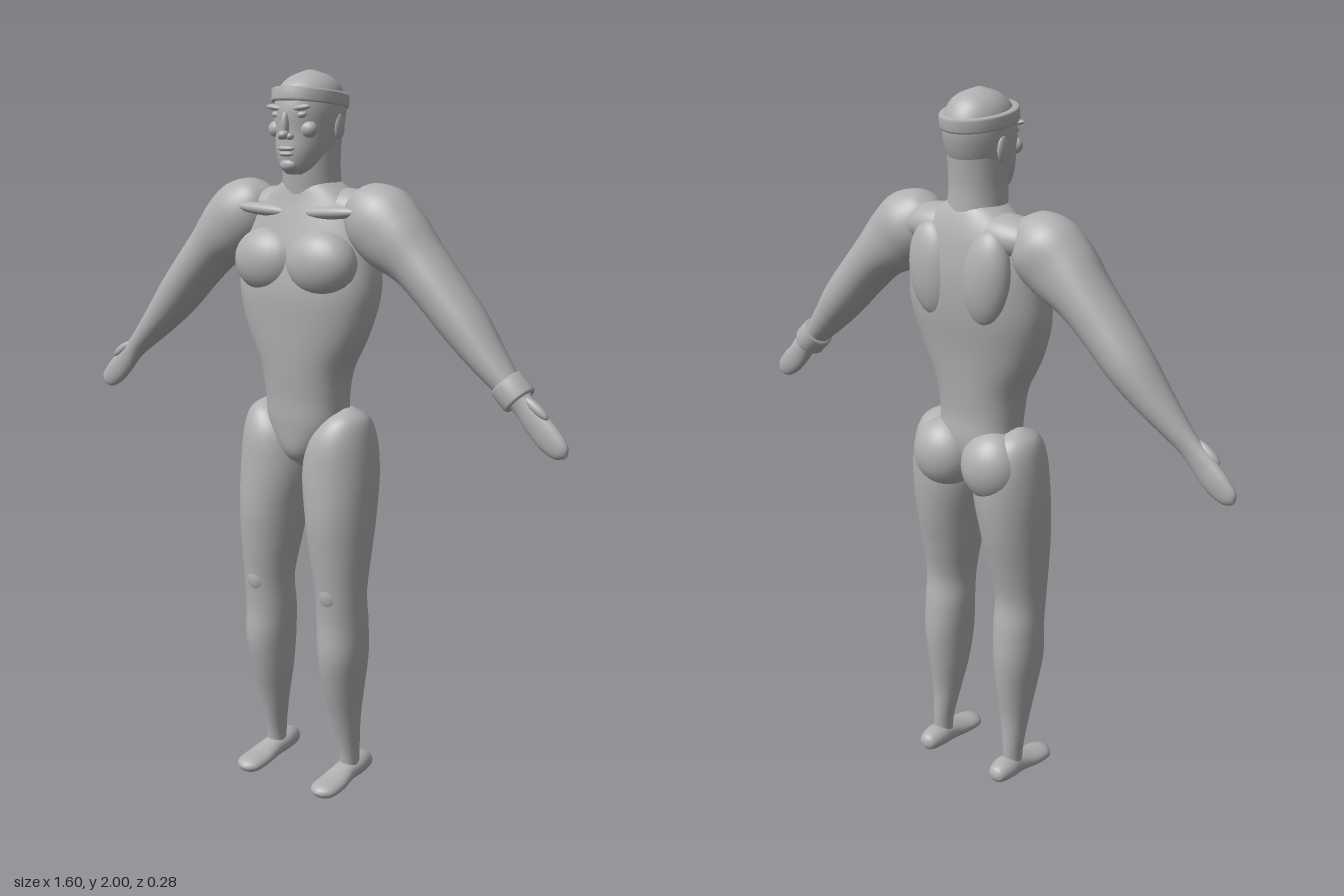
import * as THREE from 'three';

const skin = new THREE.MeshStandardMaterial({ color: 0xb0b0b0 });
skin.name = 'matte grey';

// Smooth loft along y. Each ring: [y, centre x, half width, front z, back z]
function loft(rings, { sides = 40, steps = 6, power = 1 } = {}) {
  const channel = k => new THREE.SplineCurve(rings.map(r => new THREE.Vector2(r[0], r[k])));
  const curves = [1, 2, 3, 4].map(channel);
  const rows = (rings.length - 1) * steps;
  const pos = [], idx = [];
  const bend = v => Math.sign(v) * Math.abs(v) ** power;
  for (let i = 0; i <= rows; i++) {
    const p = curves.map(c => c.getPoint(i / rows));
    const [cx, rx, f, b] = p.map(q => q.y);
    for (let j = 0; j < sides; j++) {
      const a = j / sides * Math.PI * 2;
      pos.push(cx + rx * bend(Math.cos(a)), p[0].x, (f + b) / 2 + (f - b) / 2 * bend(Math.sin(a)));
    }
  }
  const up = rings[rings.length - 1][0] > rings[0][0];
  const tri = (a, b, c) => up ? idx.push(a, b, c) : idx.push(a, c, b);
  for (let i = 0; i < rows; i++) for (let j = 0; j < sides; j++) {
    const k = (j + 1) % sides, a = i * sides + j, b = i * sides + k;
    tri(a, a + sides, b);
    tri(b, a + sides, b + sides);
  }
  // close both ends
  for (const [row, flip] of [[0, false], [rows, true]]) {
    const r = rings[row ? rings.length - 1 : 0], c = pos.length / 3;
    pos.push(r[1], r[0], (r[3] + r[4]) / 2);
    for (let j = 0; j < sides; j++) {
      const a = row * sides + j, b = row * sides + (j + 1) % sides;
      flip ? tri(c, b, a) : tri(c, a, b);
    }
  }
  const g = new THREE.BufferGeometry();
  g.setAttribute('position', new THREE.Float32BufferAttribute(pos, 3));
  g.setIndex(idx);
  g.computeVertexNormals();
  return g;
}

function blob(x, y, z, rx, ry, rz, tilt = 0) {
  return new THREE.SphereGeometry(1, 28, 20).scale(rx, ry, rz).rotateZ(tilt).translate(x, y, z);
}

function mirror(geo) {
  const g = geo.clone().scale(-1, 1, 1), ix = g.index;
  for (let i = 0; i < ix.count; i += 3) {
    const t = ix.getX(i);
    ix.setX(i, ix.getX(i + 1));
    ix.setX(i + 1, t);
  }
  const n = g.attributes.normal;
  g.deleteAttribute('normal');
  g.setAttribute('normal', n);
  g.computeVertexNormals();
  return g;
}

export function createModel() {
  const model = new THREE.Group();
  model.name = 'figure';
  const add = (name, geo) => {
    const m = new THREE.Mesh(geo, skin);
    m.name = name;
    model.add(m);
  };
  const pair = (name, geo) => {
    add(name + 'Left', geo);
    add(name + 'Right', mirror(geo));
  };

  // torso and neck
  add('torso', loft([
    [0.925, 0, 0.01, 0.02, -0.03], [0.97, 0, 0.06, 0.075, -0.07], [1.05, 0, 0.115, 0.09, -0.09],
    [1.13, 0, 0.125, 0.093, -0.085], [1.21, 0, 0.14, 0.1, -0.09], [1.31, 0, 0.19, 0.106, -0.1],
    [1.42, 0, 0.22, 0.11, -0.118], [1.52, 0, 0.212, 0.097, -0.125], [1.6, 0, 0.19, 0.078, -0.118],
    [1.66, 0, 0.15, 0.062, -0.105], [1.71, 0, 0.08, 0.05, -0.085], [1.725, 0, 0.03, 0.03, -0.06],
  ], { power: 0.9 }));
  add('neck', loft([
    [1.6, 0, 0.085, 0.05, -0.1], [1.68, 0, 0.082, 0.058, -0.094], [1.76, 0, 0.078, 0.065, -0.09],
    [1.86, 0, 0.078, 0.06, -0.098],
  ]));
  pair('breast', blob(0.088, 1.5, 0.058, 0.108, 0.09, 0.072));
  pair('collarbone', blob(0.11, 1.635, 0.052, 0.1, 0.017, 0.022, 0.05));
  pair('shoulderBlade', blob(0.09, 1.53, -0.088, 0.075, 0.13, 0.049, -0.1));
  pair('trapezius', blob(0.12, 1.64, -0.03, 0.12, 0.055, 0.07, -0.1));
  pair('buttock', blob(0.085, 1.0, -0.052, 0.095, 0.1, 0.083));

  // head
  add('head', loft([
    [1.732, 0, 0.025, 0.08, 0.02], [1.75, 0, 0.05, 0.093, -0.02], [1.79, 0, 0.072, 0.1, -0.07],
    [1.84, 0, 0.084, 0.098, -0.1], [1.9, 0, 0.09, 0.1, -0.114], [1.95, 0, 0.08, 0.084, -0.1],
    [1.982, 0, 0.052, 0.05, -0.07], [2, 0, 0.006, 0, -0.015],
  ]));
  add('noseBridge', blob(0, 1.86, 0.098, 0.011, 0.035, 0.014));
  add('noseTip', blob(0, 1.834, 0.105, 0.015, 0.012, 0.017));
  pair('nostril', blob(0.014, 1.83, 0.099, 0.011, 0.009, 0.011));
  add('upperLip', blob(0, 1.799, 0.097, 0.027, 0.007, 0.013));
  add('lowerLip', blob(0, 1.785, 0.096, 0.023, 0.007, 0.013));
  add('chin', blob(0, 1.757, 0.084, 0.027, 0.018, 0.018));
  pair('brow', blob(0.042, 1.903, 0.087, 0.03, 0.008, 0.012, 0.12));
  pair('eye', blob(0.04, 1.885, 0.083, 0.016, 0.009, 0.011, 0.1));
  pair('cheekbone', blob(0.052, 1.848, 0.068, 0.026, 0.022, 0.02));
  pair('ear', blob(0.086, 1.855, -0.02, 0.01, 0.034, 0.02));

  // headband, dipping towards the back
  const band = [];
  for (const [r, h] of [[0.88, -0.018], [0.98, -0.018], [1, -0.012], [1, 0.012], [0.97, 0.018], [0.8, 0.018]])
    band.push(new THREE.Vector2(r, h));
  add('headband', new THREE.LatheGeometry(band, 56).scale(0.098, 1, 0.112).rotateX(-0.12).translate(0, 1.927, -0.008));

  // legs and feet
  pair('leg', loft([
    [0.03, 0.134, 0.028, 0.01, -0.05], [0.1, 0.134, 0.029, 0.015, -0.05], [0.2, 0.13, 0.042, 0.04, -0.05],
    [0.3, 0.128, 0.057, 0.07, -0.062], [0.4, 0.13, 0.068, 0.09, -0.071], [0.5, 0.128, 0.072, 0.087, -0.065],
    [0.59, 0.128, 0.073, 0.093, -0.055], [0.7, 0.122, 0.086, 0.105, -0.076], [0.8, 0.117, 0.096, 0.112, -0.098],
    [0.92, 0.11, 0.106, 0.106, -0.112], [1.02, 0.115, 0.092, 0.094, -0.105], [1.08, 0.13, 0.058, 0.062, -0.07],
    [1.107, 0.138, 0.01, 0.01, -0.02],
  ]));
  pair('kneecap', blob(0.128, 0.59, 0.066, 0.038, 0.05, 0.03));
  // foot lofted heel to toe, then laid down along z
  pair('foot', loft([
    [-0.108, 0.134, 0.008, -0.035, -0.05], [-0.095, 0.134, 0.028, -0.018, -0.068], [-0.05, 0.134, 0.038, -0.012, -0.077],
    [0, 0.134, 0.035, -0.008, -0.067], [0.06, 0.136, 0.042, -0.003, -0.05], [0.11, 0.136, 0.04, 0, -0.042],
    [0.132, 0.135, 0.024, -0.007, -0.034], [0.14, 0.135, 0.005, -0.018, -0.024],
  ]).rotateX(Math.PI / 2));

  // arms lofted straight down, then swung out from the shoulder
  const swing = g => g.rotateZ(0.8).translate(0.2, 1.61, 0);
  pair('arm', swing(loft([
    [0.09, 0.02, 0.008, 0, -0.03], [0.065, 0.02, 0.06, 0.045, -0.07], [0, 0.022, 0.098, 0.075, -0.104],
    [-0.08, 0.026, 0.098, 0.076, -0.1], [-0.17, 0.034, 0.076, 0.065, -0.095], [-0.26, 0.033, 0.068, 0.06, -0.09],
    [-0.38, 0.027, 0.062, 0.052, -0.083], [-0.48, 0.022, 0.049, 0.043, -0.065], [-0.57, 0.021, 0.036, 0.032, -0.043],
    [-0.63, 0.022, 0.031, 0.021, -0.028], [-0.68, 0.021, 0.035, 0.019, -0.022], [-0.74, 0.021, 0.036, 0.018, -0.02],
    [-0.785, 0.024, 0.026, 0.014, -0.014], [-0.803, 0.026, 0.005, 0.004, -0.004],
  ])));
  pair('thumb', swing(blob(0.05, -0.665, 0.006, 0.013, 0.04, 0.013, 0.15)));

  // cuff on the left wrist only
  const cuff = [];
  for (const [r, h] of [[0.7, -0.03], [0.92, -0.03], [1, -0.024], [1, 0.024], [0.92, 0.03], [0.7, 0.03]])
    cuff.push(new THREE.Vector2(r, h));
  add('wristCuff', swing(new THREE.LatheGeometry(cuff, 40).scale(0.047, 1, 0.047).translate(0.021, -0.59, -0.007)));

  return model;
}
